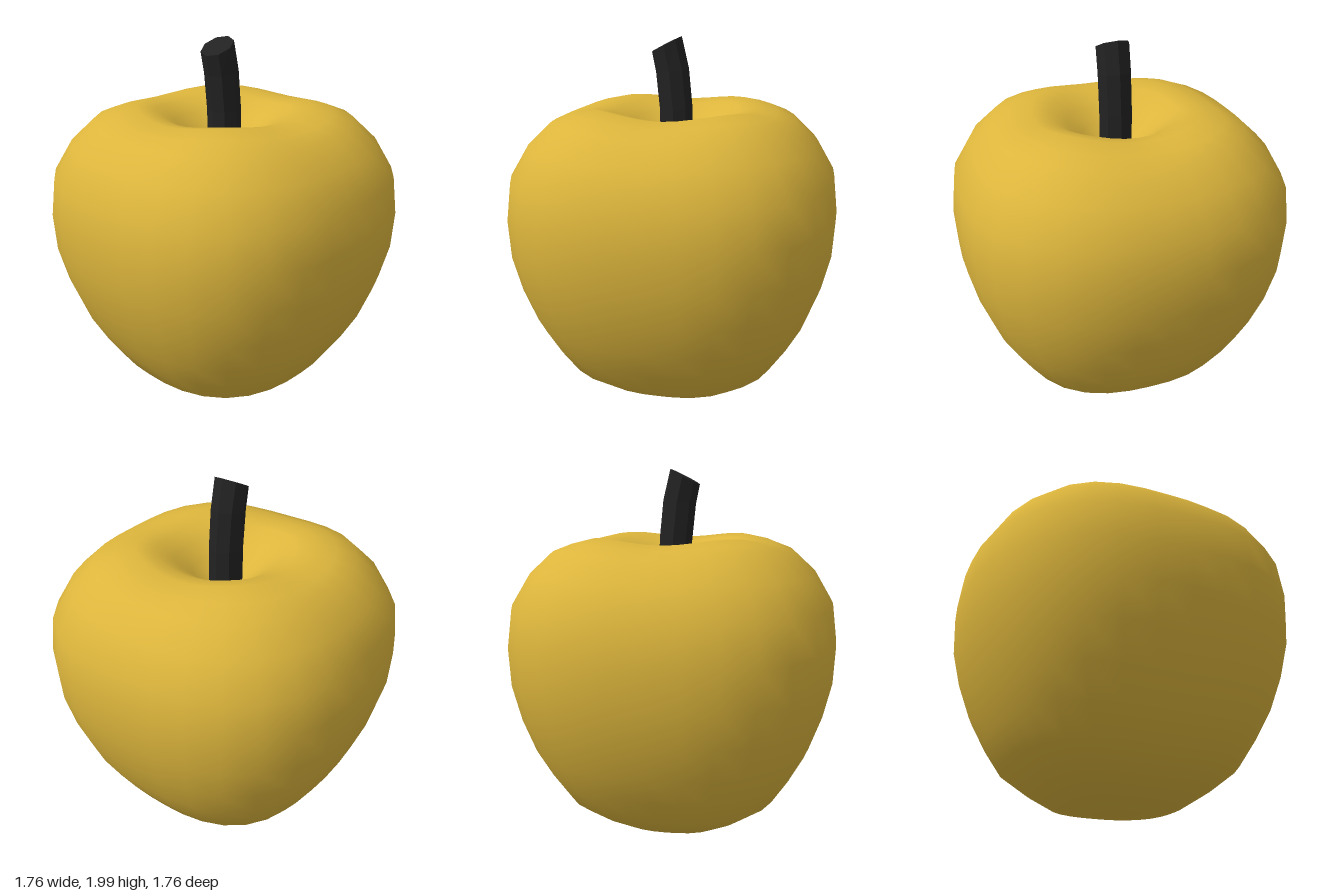
import * as THREE from 'three';
import { mergeVertices } from 'three/addons/utils/BufferGeometryUtils.js';

// Fruit body: a turned profile squared off into a rounded-square plan
function makeBody() {
  const profile = [
    [0, 0.005], [0.17, 0.02], [0.33, 0.05], [0.46, 0.13], [0.59, 0.23], [0.68, 0.37],
    [0.76, 0.52], [0.825, 0.7], [0.87, 0.89], [0.88, 1.09], [0.855, 1.29], [0.76, 1.45],
    [0.64, 1.56], [0.54, 1.595], [0.43, 1.615], [0.34, 1.6], [0.25, 1.55], [0.17, 1.485],
    [0.09, 1.425], [0, 1.4],
  ].map(([r, y]) => new THREE.Vector2(r, y));
  let geo = new THREE.LatheGeometry(profile, 32);
  const pos = geo.attributes.position;
  const n = 2.53;
  for (let i = 0; i < pos.count; i++) {
    const x = pos.getX(i), y = pos.getY(i), z = pos.getZ(i);
    const r = Math.hypot(x, z);
    if (r < 1e-4) continue;
    const c = Math.abs(x / r), s = Math.abs(z / r);
    const k = Math.pow(c ** n + s ** n, -1 / n);
    // the rim rises slightly at the four corners
    const rim = y > 1.3 ? Math.max(0, 1 - Math.abs(r - 0.45) / 0.4) : 0;
    const lift = 0.03 * rim * (2 * c * s) ** 2;
    pos.setXYZ(i, x * k, y + lift, z * k);
  }
  // weld the seam so the skin shades smoothly
  geo.deleteAttribute('uv');
  geo.deleteAttribute('normal');
  geo = mergeVertices(geo, 1e-4);
  geo.computeVertexNormals();
  return geo;
}

// Stem: an eight-sided rod whose rings drift and tip towards the front
function makeStem() {
  const rings = [ // height, forward offset, tilt
    [1.36, -0.005, 0], [1.62, 0, 0.03], [1.82, 0.02, 0.12], [1.955, 0.05, 0.47],
  ];
  const geo = new THREE.CylinderGeometry(0.09, 0.09, 1, 8, rings.length - 1);
  const pos = geo.attributes.position;
  for (let i = 0; i < pos.count; i++) {
    const [h, dz, tilt] = rings[Math.round((pos.getY(i) + 0.5) * (rings.length - 1))];
    const z = pos.getZ(i);
    pos.setY(i, h - z * Math.sin(tilt));
    pos.setZ(i, dz + z * Math.cos(tilt));
  }
  geo.computeVertexNormals();
  return geo;
}

export function createModel() {
  const group = new THREE.Group();
  group.name = 'apple';

  const body = new THREE.Mesh(makeBody(), new THREE.MeshStandardMaterial({ color: 0xdcb53c }));
  body.name = 'body';

  const stem = new THREE.Mesh(
    makeStem(),
    new THREE.MeshStandardMaterial({ color: 0x222222, flatShading: true }),
  );
  stem.name = 'stem';

  group.add(body, stem);
  return group;
}
